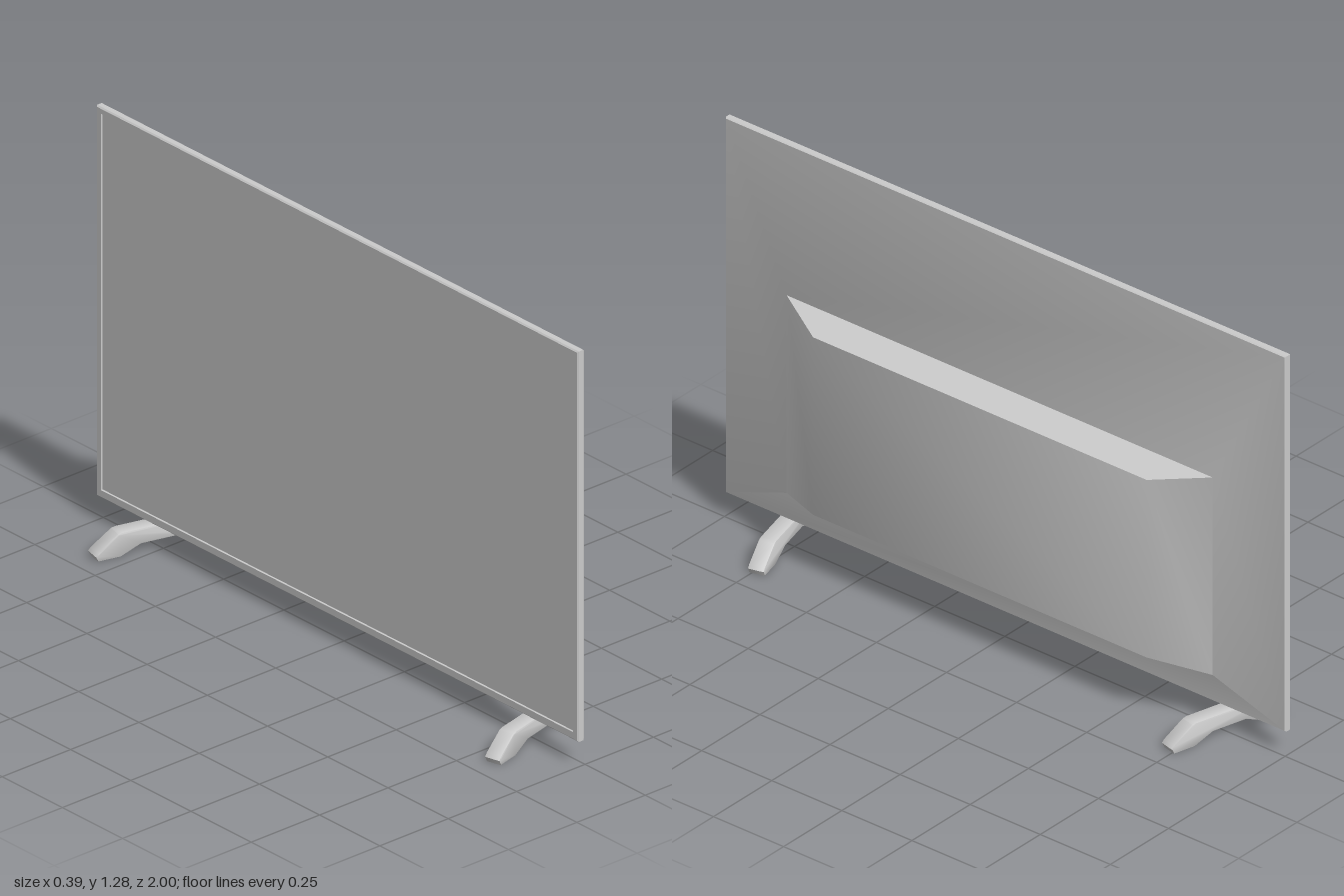
import * as THREE from 'three';
import { toCreasedNormals } from 'three/addons/utils/BufferGeometryUtils.js';

const grey = new THREE.MeshStandardMaterial({ color: 0xcccccc });

// Skin a row of rectangular rings [x, half width in z, bottom y, top y]
function loft(name, rings, { startCap = false, endCap = false } = {}) {
  const pos = [];
  const loops = rings.map(([x, z, y0, y1]) => [[x, y0, -z], [x, y1, -z], [x, y1, z], [x, y0, z]]);
  const quad = (a, b, c, d) => pos.push(...a, ...b, ...c, ...a, ...c, ...d);
  for (let r = 0; r < loops.length - 1; r++) {
    const a = loops[r], b = loops[r + 1];
    for (let i = 0; i < 4; i++) {
      const j = (i + 1) % 4;
      quad(a[i], a[j], b[j], b[i]);
    }
  }
  if (startCap) quad(...[...loops[0]].reverse());
  if (endCap) quad(...loops[loops.length - 1]);
  const geo = new THREE.BufferGeometry();
  geo.setAttribute('position', new THREE.Float32BufferAttribute(pos, 3));
  const mesh = new THREE.Mesh(toCreasedNormals(geo, Math.PI / 6), grey);
  mesh.name = name;
  return mesh;
}

// Arched foot, cut from a side profile
function footGeometry() {
  const half = [[0.056, 0.03], [0.118, 0.004], [0.186, 0.004], [0.193, 0.018], [0.186, 0.026], [0.124, 0.07], [0.112, 0.073]];
  const mirrored = half.map(([x, y]) => [-x, y]).reverse();
  const shape = new THREE.Shape([...half, ...mirrored].map(([x, y]) => new THREE.Vector2(x, y)));
  const bevel = 0.004, width = 0.05;
  const geo = new THREE.ExtrudeGeometry(shape, {
    depth: width - 2 * bevel, bevelEnabled: true, bevelSize: bevel,
    bevelThickness: bevel, bevelOffset: -bevel / 2, bevelSegments: 2,
  });
  geo.translate(0, 0, -width / 2 + bevel);
  return toCreasedNormals(geo, Math.PI / 6);
}

export function createModel() {
  const group = new THREE.Group();
  group.name = 'television';

  // Screen glass, slightly recessed, facing -x
  group.add(loft('screen', [[-0.022, 0.979, 0.104, 1.258], [-0.021, 0.979, 0.104, 1.258]], { startCap: true }));

  // Thin frame: inner lip, front face, chamfer, outer edge
  group.add(loft('bezel', [
    [-0.021, 0.979, 0.104, 1.258],
    [-0.026, 0.980, 0.102, 1.259],
    [-0.026, 0.996, 0.082, 1.274],
    [-0.022, 1.0, 0.078, 1.278],
    [-0.006, 1.0, 0.078, 1.278],
    [-0.002, 0.997, 0.081, 1.275],
  ]));

  // Tapered back with the raised electronics housing
  group.add(loft('backCover', [
    [-0.002, 0.997, 0.081, 1.275],
    [0.022, 0.76, 0.18, 0.812],
    [0.107, 0.595, 0.212, 0.78],
  ], { endCap: true }));

  // Two splayed feet
  const foot = footGeometry();
  for (const side of [-1, 1]) {
    const mesh = new THREE.Mesh(foot, grey);
    mesh.name = side > 0 ? 'frontFoot' : 'rearFoot';
    mesh.position.set(-0.002, 0, side * 0.782);
    mesh.rotation.y = side * THREE.MathUtils.degToRad(14.5);
    group.add(mesh);
  }
  return group;
}
